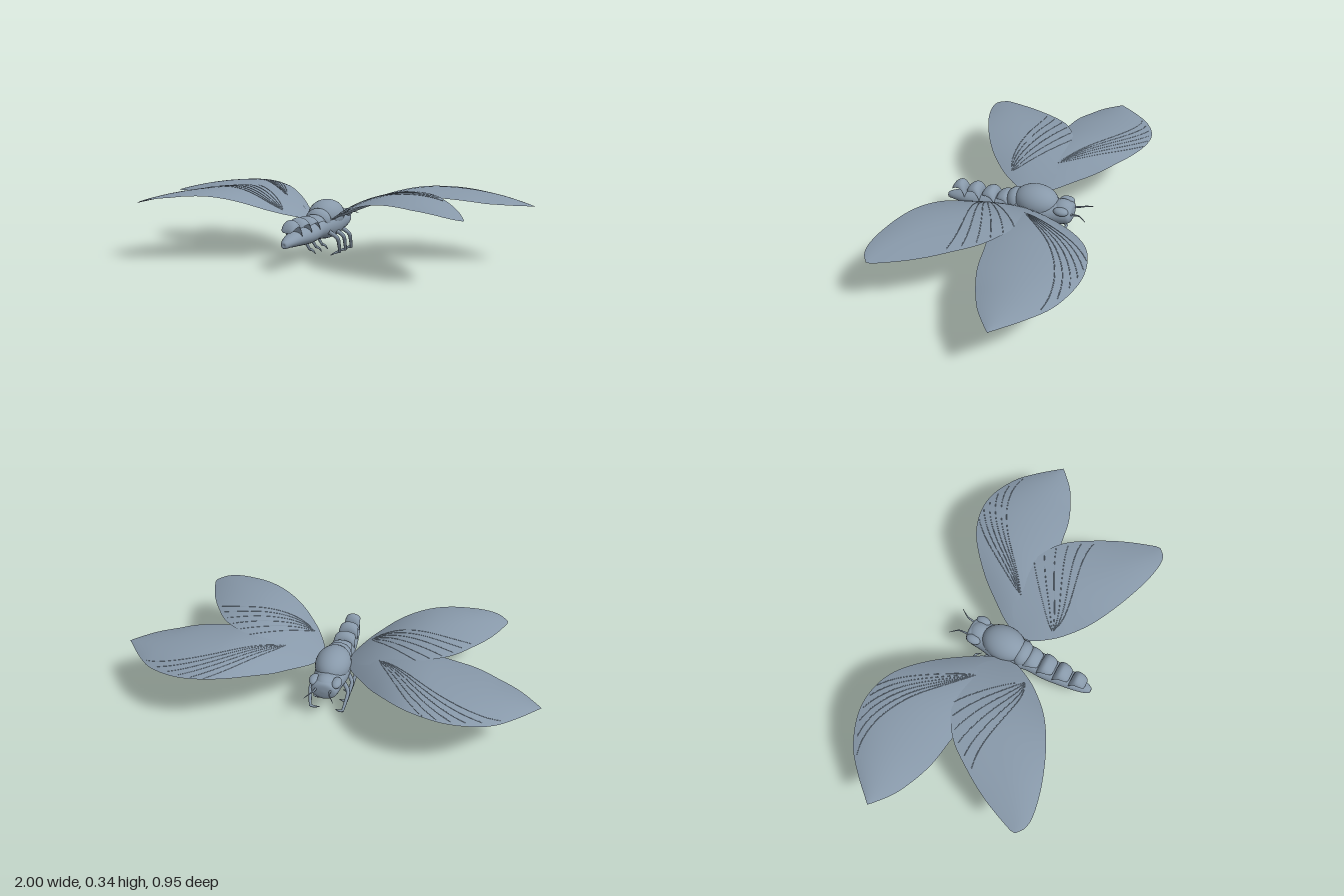
import * as THREE from 'three';
import { mergeVertices } from 'three/addons/utils/BufferGeometryUtils.js';

const slate = new THREE.MeshStandardMaterial({ color: 0x8899aa, side: THREE.DoubleSide });
slate.name = 'slate blue';

const V = (x, y, z) => new THREE.Vector3(x, y, z);
const spline = (pts) => new THREE.CatmullRomCurve3(pts, false, 'catmullrom');
const planCurve = (pts) => spline(pts.map(([x, z]) => V(x, 0, z)));

function part(name, geometry, parent) {
  const mesh = new THREE.Mesh(geometry, slate);
  mesh.name = name;
  parent.add(mesh);
  return mesh;
}

// Smooth surface from fn(u, v) -> Vector3
function surface(nu, nv, fn) {
  const pos = [], idx = [];
  for (let i = 0; i <= nu; i++) {
    for (let j = 0; j <= nv; j++) {
      pos.push(...fn(i / nu, j / nv).toArray());
      if (i < nu && j < nv) {
        const a = i * (nv + 1) + j, b = a + nv + 1;
        idx.push(a, a + 1, b, b, a + 1, b + 1);
      }
    }
  }
  let g = new THREE.BufferGeometry();
  g.setAttribute('position', new THREE.Float32BufferAttribute(pos, 3));
  g.setIndex(idx);
  g = mergeVertices(g, 1e-5);
  g.computeVertexNormals();
  return g;
}

// Round tube along a curve whose radius follows radius(t)
function taperedTube(curve, radius, segments = 12, sides = 8) {
  const g = new THREE.TubeGeometry(curve, segments, 1, sides);
  const p = g.attributes.position, n = g.attributes.normal;
  for (let i = 0; i < p.count; i++) {
    const t = Math.floor(i / (sides + 1)) / segments, k = radius(t) - 1;
    p.setXYZ(i, p.getX(i) + n.getX(i) * k, p.getY(i) + n.getY(i) * k, p.getZ(i) + n.getZ(i) * k);
  }
  return g;
}

function ellipsoid(name, parent, [x, y, z], [rx, ry, rz]) {
  const mesh = part(name, new THREE.SphereGeometry(1, 28, 18), parent);
  mesh.position.set(x, y, z);
  mesh.scale.set(rx, ry, rz);
  return mesh;
}

// Wings: leading and trailing edges in plan, arched along the span and across the chord
const wings = {
  foreWing: {
    lead: [[0.07, -0.02], [0.1, -0.09], [0.155, -0.17], [0.26, -0.3], [0.4, -0.42], [0.53, -0.47],
      [0.66, -0.47], [0.8, -0.415], [0.9, -0.33], [1, -0.22]],
    trail: [[0.07, 0.06], [0.2, 0.055], [0.38, 0.02], [0.56, -0.02], [0.72, -0.05], [0.88, -0.12], [0.97, -0.19], [1, -0.22]],
    peak: 0.5, top: 0.345, root: 0.155, tipX: 1, tipDrop: 0.073, camber: [0.03, 0.03],
    veinStart: [0.2, 0.55], veinEnds: [0.52, 0.57, 0.62, 0.67, 0.73, 0.8],
  },
  hindWing: {
    lead: [[0.07, 0], [0.155, -0.085], [0.29, -0.112], [0.42, -0.1], [0.56, -0.02], [0.66, 0.11],
      [0.74, 0.25], [0.8, 0.4], [0.803, 0.43]],
    trail: [[0.07, 0.06], [0.1, 0.12], [0.155, 0.2], [0.26, 0.3], [0.4, 0.38], [0.56, 0.44], [0.69, 0.467],
      [0.76, 0.462], [0.803, 0.43]],
    peak: 0.47, top: 0.342, root: 0.15, tipX: 0.8, tipDrop: 0.065, camber: [0.008, 0.022],
    veinStart: [0.16, 0.85], veinEnds: [0.36, 0.42, 0.48, 0.54, 0.6, 0.66],
  },
};

function addWing(name, w, s, parent) {
  const lead = planCurve(w.lead), trail = planCurve(w.trail);
  const at = (u, v) => {
    const p = lead.getPointAt(u).lerp(trail.getPointAt(u), v);
    const d = p.x - w.peak;
    const arch = d < 0 ? w.root * (d / (w.peak - 0.07)) ** 2 : w.tipDrop * (d / (w.tipX - w.peak)) ** 2;
    const c = w.camber[v < 0.5 ? 0 : 1] * Math.min(1, 1.4 * Math.sin(Math.PI * u));
    return V(s * p.x, w.top - arch - c * (2 * v - 1) ** 2, p.z);
  };
  const wing = new THREE.Group();
  wing.name = name;
  parent.add(wing);
  part(name + 'Membrane', surface(44, 16, at), wing);
  // Fine veins fanning towards the leading edge
  const [u0, v0] = w.veinStart;
  w.veinEnds.forEach((u1, k) => {
    const pts = [];
    for (let i = 0; i <= 12; i++) {
      const t = i / 12, end = 0.01 + 0.012 * k;
      pts.push(at(u0 + (u1 - u0) * t, v0 + (end - v0) * t ** (0.75 + 0.12 * k)));
    }
    part(name + 'Vein', new THREE.TubeGeometry(spline(pts), 24, 0.0018, 4), wing);
  });
}

// Body sections: [z, bottom, top, half width], tail to head
const sections = [
  [0.435, 0.12, 0.12, 0], [0.434, 0.105, 0.135, 0.014], [0.4, 0.104, 0.15, 0.03], [0.33, 0.099, 0.168, 0.045],
  [0.2, 0.091, 0.183, 0.059], [0.11, 0.097, 0.2, 0.06], [0.05, 0.092, 0.22, 0.072], [-0.02, 0.085, 0.235, 0.083],
  [-0.08, 0.09, 0.235, 0.085], [-0.15, 0.1, 0.222, 0.073], [-0.21, 0.112, 0.22, 0.068],
  [-0.238, 0.128, 0.21, 0.055], [-0.245, 0.17, 0.17, 0],
];

function addBody(parent) {
  const low = spline(sections.map(([z, b, , w]) => V(w, b, z)));
  const high = spline(sections.map(([z, , t, w]) => V(w, t, z)));
  part('body', surface(60, 28, (u, v) => {
    const a = low.getPoint(u), b = high.getPoint(u).y, q = v * Math.PI * 2;
    return V(Math.max(a.x, 0) * Math.cos(q), (a.y + b) / 2 + (b - a.y) / 2 * Math.sin(q), a.z);
  }), parent);
  ellipsoid('thoraxShield', parent, [0, 0.2, -0.05], [0.088, 0.08, 0.115]);
  ellipsoid('rearThorax', parent, [0, 0.185, 0.055], [0.066, 0.06, 0.05]);
  ellipsoid('headCrown', parent, [0, 0.19, -0.19], [0.05, 0.04, 0.052]);
}

// Curled shell plates along the abdomen
const plates = [[0.325, 0.163, 1, 0.042], [0.24, 0.175, 0.83, 0.052], [0.155, 0.178, 0.72, 0.058], [0.075, 0.18, 0.65, 0.06]];

function addPlates(parent) {
  for (const [z, y, k, w] of plates) {
    const path = spline([[0, 0], [0.008, 0.04], [0.03, 0.063], [0.058, 0.052], [0.076, 0.028], [0.08, 0.008]]
      .map(([dz, dy]) => V(0, y + dy * k, z + dz)));
    part('abdomenPlate', surface(18, 16, (u, v) => {
      const p = path.getPoint(u), a = (v - 0.5) * 2.9;
      const width = w * Math.sqrt(Math.max(0, 1 - u ** 2.4));
      return V(width * Math.sin(a), p.y - 0.042 * (1 - u ** 2) * (1 - Math.cos(a)), p.z);
    }), parent);
  }
}

export function createModel() {
  const model = new THREE.Group();
  model.name = 'wingedInsect';
  addBody(model);
  addPlates(model);

  for (const s of [1, -1]) {
    for (const name in wings) addWing(name, wings[name], s, model);

    ellipsoid('eye', model, [s * 0.055, 0.2, -0.195], [0.025, 0.02, 0.038]);

    const feeler = spline([V(s * 0.035, 0.178, -0.23), V(s * 0.04, 0.188, -0.275), V(s * 0.05, 0.19, -0.295), V(s * 0.07, 0.182, -0.323)]);
    part('antenna', taperedTube(feeler, (t) => 0.006 - 0.0045 * t), model);

    // Three raked legs, each ending in a small hooked foot
    for (const z of [0.06, -0.018, -0.098]) {
      const shin = spline([V(s * 0.06, 0.135, z + 0.005), V(s * 0.094, 0.1, z - 0.025), V(s * 0.09, 0.055, z - 0.06), V(s * 0.082, 0.018, z - 0.088)]);
      part('leg', taperedTube(shin, (t) => 0.012 - 0.005 * t), model);
      const foot = spline([V(s * 0.083, 0.021, z - 0.086), V(s * 0.065, 0.016, z - 0.085), V(s * 0.042, 0.003, z - 0.066)]);
      part('foot', taperedTube(foot, (t) => 0.008 - 0.006 * t, 8), model);
    }
  }
  return model;
}
